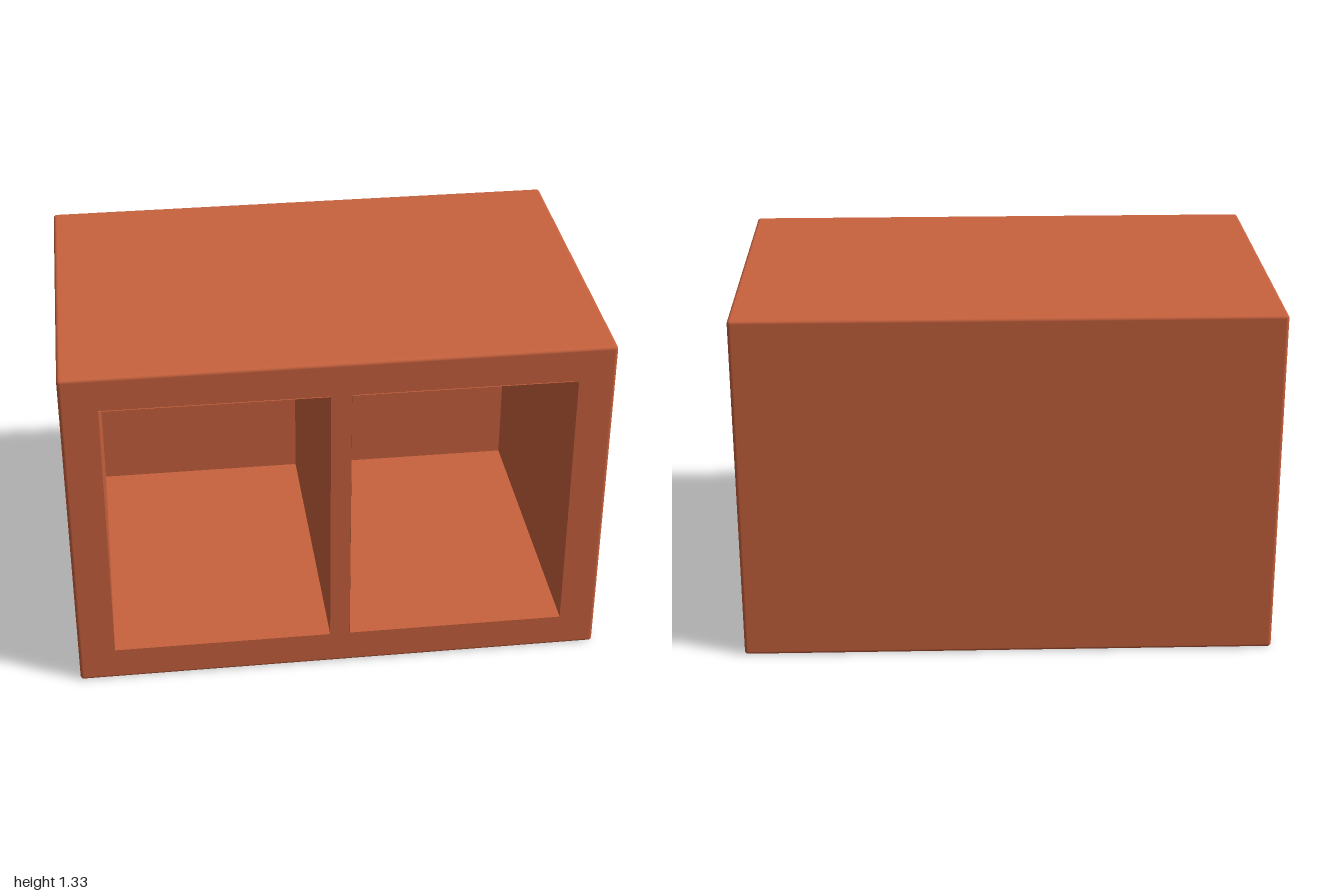
import * as THREE from 'three';
import { RoundedBoxGeometry } from 'three/addons/geometries/RoundedBoxGeometry.js';

const W = 2, H = 1.333, D = 1.33, EDGE = 0.013;
const FRONT = 0.663;                        // plane of the front frame
const HOLE = { x: 0.45, y: 0.668, w: 0.824, h: 1.066, depth: 1.2 };

// Drops the flat face on the +z end of a box-like geometry
function openFront(source) {
  const geo = source.index ? source.toNonIndexed() : source;
  geo.computeBoundingBox();
  const limit = geo.boundingBox.max.z - 1e-5;
  const pos = geo.attributes.position;
  const keep = [];
  for (let i = 0; i < pos.count; i += 3) {
    const flat = [0, 1, 2].every((k) => pos.getZ(i + k) > limit);
    if (!flat) keep.push(i, i + 1, i + 2);
  }
  geo.clearGroups();
  geo.setIndex(keep);
  return geo;
}

// Traces a centred rectangle on a shape or path
function rectangle(path, cx, cy, w, h) {
  path.moveTo(cx - w / 2, cy - h / 2);
  path.lineTo(cx + w / 2, cy - h / 2);
  path.lineTo(cx + w / 2, cy + h / 2);
  path.lineTo(cx - w / 2, cy + h / 2);
  path.closePath();
  return path;
}

export function createModel() {
  const group = new THREE.Group();
  group.name = 'twoCompartmentBox';
  const terracotta = new THREE.MeshStandardMaterial({ color: 0xc8623e, side: THREE.DoubleSide });
  terracotta.name = 'terracotta';

  const add = (name, geo, x, y, z) => {
    const mesh = new THREE.Mesh(geo, terracotta);
    mesh.name = name;
    mesh.position.set(x, y, z);
    group.add(mesh);
  };

  // Outer shell with softly rounded edges
  add('outerShell', openFront(new RoundedBoxGeometry(W, H, D, 3, EDGE)), 0, H / 2, FRONT - D / 2);

  // Front frame with a central divider
  const frame = rectangle(new THREE.Shape(), 0, H / 2, W - 2 * EDGE, H - 2 * EDGE);
  for (const side of [-1, 1]) {
    frame.holes.push(rectangle(new THREE.Path(), side * HOLE.x, HOLE.y, HOLE.w, HOLE.h));
  }
  add('frontFrame', new THREE.ShapeGeometry(frame), 0, 0, FRONT);

  // Deep compartments whose rims stand just proud of the frame
  for (const side of [-1, 1]) {
    const liner = openFront(new THREE.BoxGeometry(HOLE.w, HOLE.h, HOLE.depth));
    add(side > 0 ? 'leftCompartment' : 'rightCompartment', liner, side * HOLE.x, HOLE.y, 0.667 - HOLE.depth / 2);
  }
  return group;
}
